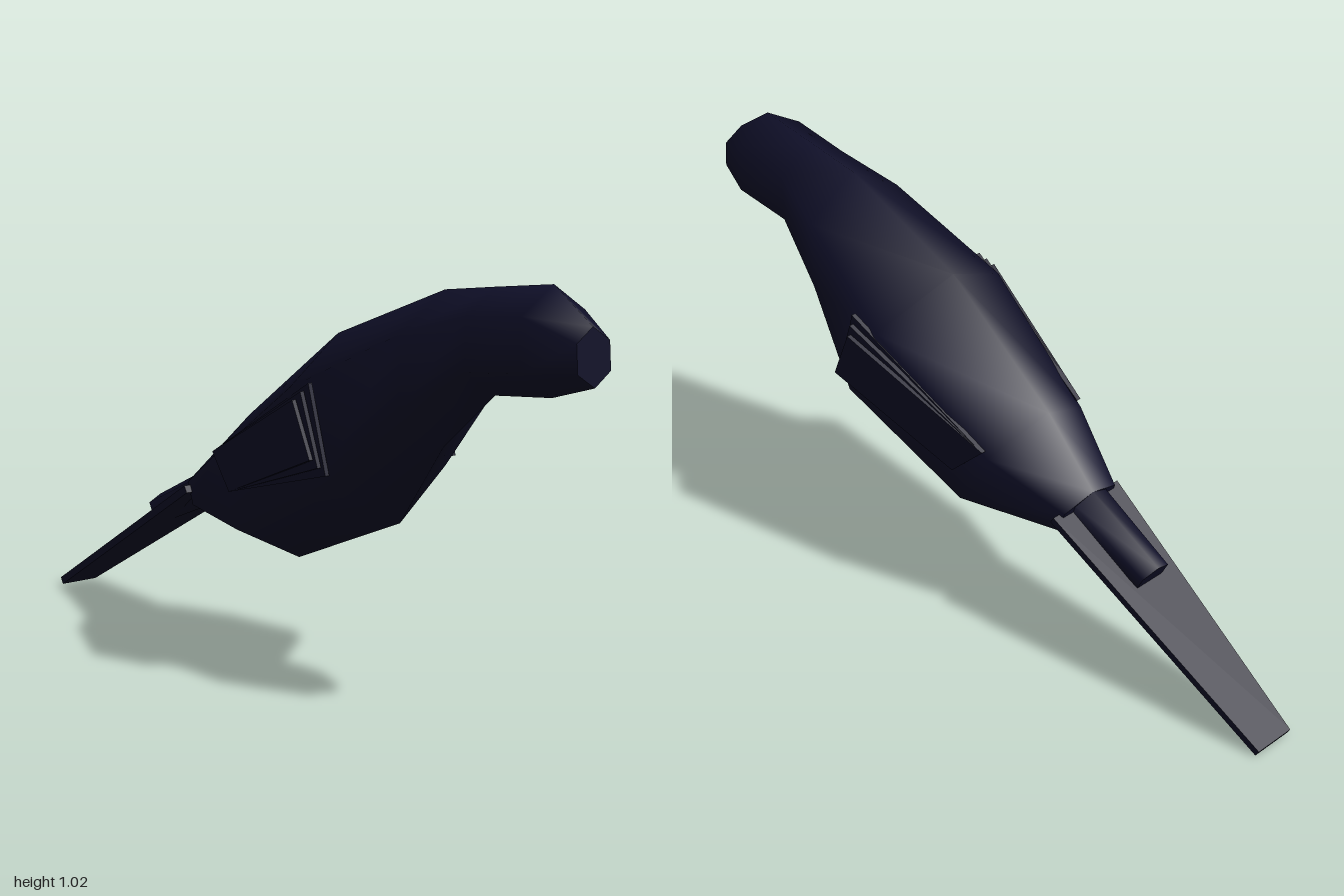
import * as THREE from 'three';

const plumage = new THREE.MeshStandardMaterial({ color: 0x0f0f28 });
plumage.name = 'midnightPlumage';

// Hexagonal loft; each ring is [topX, topY, bottomX, bottomY, halfWidth]
function loft(name, rings) {
  const sides = 6, pos = [], index = [];
  const addRing = (r) => {
    const [tx, ty, bx, by, w] = r;
    for (let j = 0; j < sides; j++) {
      const a = (j / sides) * Math.PI * 2;
      const k = (1 - Math.cos(a)) / 2;
      pos.push(tx + (bx - tx) * k, ty + (by - ty) * k, (Math.sin(a) * w) / Math.sin(Math.PI / 3));
    }
  };
  rings.forEach(addRing);
  for (let i = 0; i < rings.length - 1; i++) {
    for (let j = 0; j < sides; j++) {
      const a = i * sides + j, b = i * sides + ((j + 1) % sides);
      index.push(a, b, a + sides, b, b + sides, a + sides);
    }
  }
  // Flat end caps on their own vertices
  [0, rings.length - 1].forEach((ri, end) => {
    const s = pos.length / 3;
    addRing(rings[ri]);
    for (let j = 1; j < sides - 1; j++) {
      if (end) index.push(s, s + j, s + j + 1);
      else index.push(s, s + j + 1, s + j);
    }
  });
  const g = new THREE.BufferGeometry();
  g.setAttribute('position', new THREE.Float32BufferAttribute(pos, 3));
  g.setIndex(index);
  g.computeVertexNormals();
  const m = new THREE.Mesh(g, plumage);
  m.name = name;
  return m;
}

// Box whose unit coordinates (0..1) are moved by a rule
function shaped(name, rule) {
  const g = new THREE.BoxGeometry(1, 1, 1);
  const p = g.attributes.position;
  for (let i = 0; i < p.count; i++) {
    p.setXYZ(i, ...rule(p.getX(i) + 0.5, p.getY(i) + 0.5, p.getZ(i)));
  }
  g.computeVertexNormals();
  const m = new THREE.Mesh(g, plumage);
  m.name = name;
  return m;
}

const mix = THREE.MathUtils.lerp;

// Folded wing: three overlapping feather layers that flare out at the shoulder
function wing(side) {
  const group = new THREE.Group();
  group.name = side > 0 ? 'leftWing' : 'rightWing';
  for (let k = 0; k < 3; k++) {
    group.add(shaped('wingFeatherLayer' + (k + 1), (u, v, t) => {
      const x = mix(mix(-0.06, 0.32, u), mix(-0.15, 0.26, u), v);
      const y = mix(mix(0.43, 0.57 - k * 0.02, u), mix(0.52, 0.71 + k * 0.02, u), v);
      const z = mix(mix(0.188, 0.247, u), mix(0.168, 0.25, u), v) - k * 0.017 * u;
      return [x + k * 0.01 * u, y, side * z + t * 0.012];
    }));
  }
  return group;
}

export function createModel() {
  const model = new THREE.Group();
  model.name = 'bird';

  // Body, neck, head and blunt face
  model.add(loft('body', [
    [-0.37, 0.43, -0.33, 0.31, 0.09],
    [-0.21, 0.59, -0.01, 0.24, 0.166],
    [0.14, 0.84, 0.37, 0.39, 0.212],
    [0.52, 0.98, 0.52, 0.60, 0.148],
    [0.69, 1.0, 0.69, 0.745, 0.103],
    [0.87, 1.02, 0.87, 0.76, 0.105],
    [0.99, 0.935, 1.0, 0.797, 0.055],
  ]));

  // Short covert over the base of the tail
  model.add(loft('tailCovert', [
    [-0.6, 0.32, -0.565, 0.25, 0.045],
    [-0.36, 0.435, -0.32, 0.345, 0.055],
  ]));

  // Long flat tail narrowing to its tip
  model.add(shaped('tail', (u, v, t) => [
    mix(-1, -0.34, u) - (v - 0.5) * 0.01,
    mix(0.01, 0.385, u) + (v - 0.5) * 0.018,
    t * 2 * mix(0.058, 0.114, u),
  ]));

  model.add(wing(1), wing(-1));
  return model;
}
